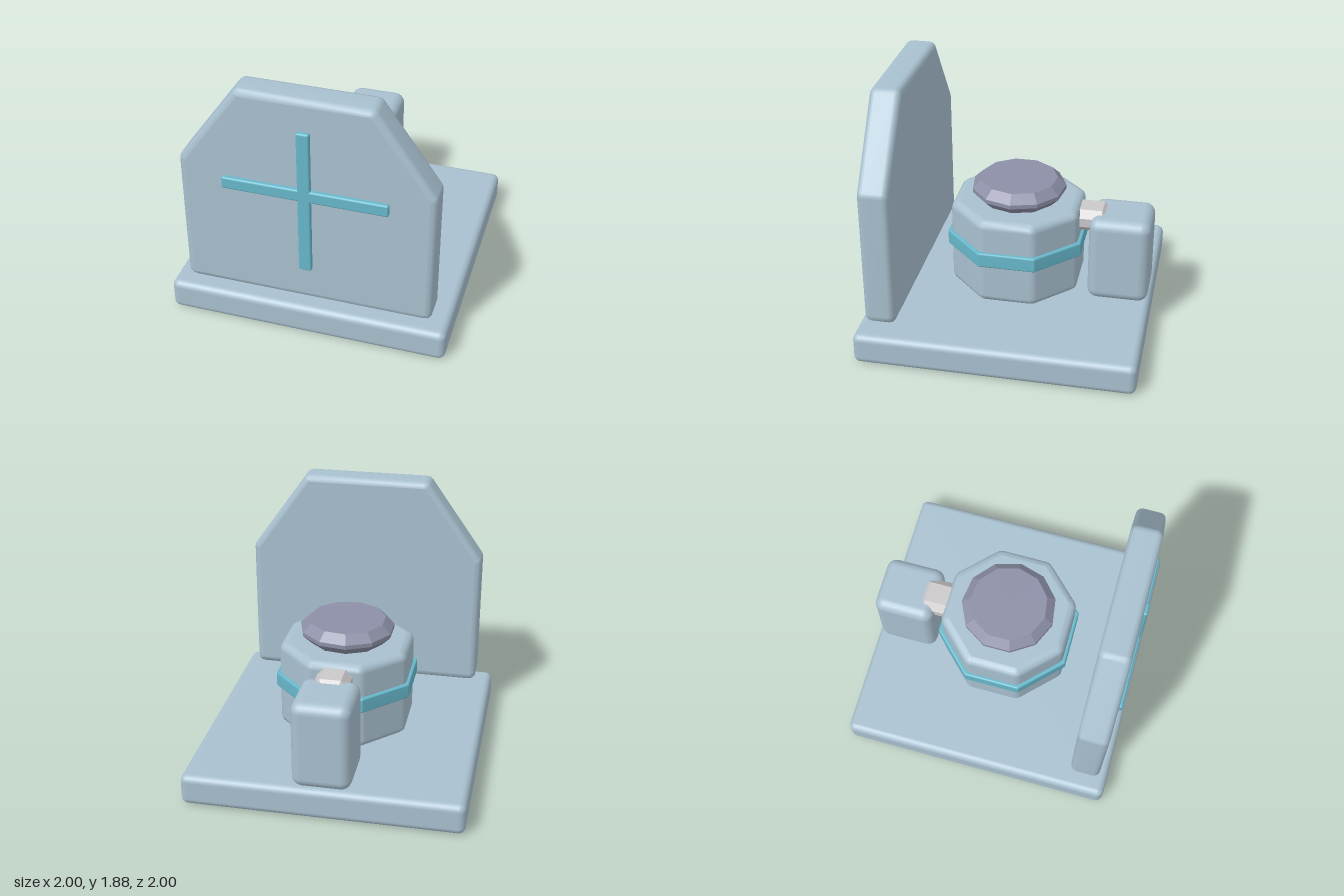
import * as THREE from 'three';
import { mergeVertices } from 'three/addons/utils/BufferGeometryUtils.js';
import { RoundedBoxGeometry } from 'three/addons/geometries/RoundedBoxGeometry.js';

const material = (name, color) => {
  const m = new THREE.MeshStandardMaterial({ color });
  m.name = name;
  return m;
};

// Closed outline with every corner softened by radius r
function softOutline(points, r) {
  const pts = points.map(([x, y]) => new THREE.Vector2(x, y));
  const shape = new THREE.Shape();
  pts.forEach((p, i) => {
    const toPrev = pts[(i + pts.length - 1) % pts.length].clone().sub(p).normalize();
    const toNext = pts[(i + 1) % pts.length].clone().sub(p).normalize();
    const turn = Math.PI - Math.acos(toPrev.dot(toNext));
    const trim = r * Math.tan(turn / 2);
    const a = p.clone().addScaledVector(toPrev, trim);
    const b = p.clone().addScaledVector(toNext, trim);
    if (i === 0) shape.moveTo(a.x, a.y);
    else shape.lineTo(a.x, a.y);
    shape.quadraticCurveTo(p.x, p.y, b.x, b.y);
  });
  shape.closePath();
  return shape;
}

// Prism from z = 0 to z = depth with rounded edges and area-weighted smooth normals
function softPrism(points, depth, bevel) {
  const geo = new THREE.ExtrudeGeometry(softOutline(points, bevel * 1.4), {
    depth: depth - 2 * bevel, curveSegments: 3, bevelEnabled: true,
    bevelSize: bevel, bevelThickness: bevel, bevelOffset: -bevel, bevelSegments: 3,
  });
  geo.translate(0, 0, bevel);
  geo.deleteAttribute('normal');
  geo.deleteAttribute('uv');
  const merged = mergeVertices(geo, 1e-4);
  merged.computeVertexNormals();
  return merged;
}

// Regular octagon with flat sides on the axes
function octagon(apothem) {
  const r = apothem / Math.cos(Math.PI / 8);
  return Array.from({ length: 8 }, (_, i) => {
    const a = (i + 0.5) * Math.PI / 4;
    return [r * Math.cos(a), r * Math.sin(a)];
  });
}

function faceted(geo) {
  const flat = geo.index ? geo.toNonIndexed() : geo;
  flat.computeVertexNormals();
  return flat;
}

export function createModel() {
  const model = new THREE.Group();
  model.name = 'shieldedMachine';
  const paleBlue = material('paleBlue', 0xa8c0cf);
  const teal = material('teal', 0x67b8cb);
  const slate = material('slate', 0x8c8fa6);
  const lightGrey = material('lightGrey', 0xcbc8ca);

  const add = (name, geo, mat, x = 0, y = 0, z = 0) => {
    const mesh = new THREE.Mesh(geo, mat);
    mesh.name = name;
    mesh.position.set(x, y, z);
    model.add(mesh);
    return mesh;
  };

  // Base slab
  add('base', new RoundedBoxGeometry(2, 0.23, 2, 3, 0.05), paleBlue, 0, 0.115, 0);

  // Front shield with sloping shoulders
  const outline = [[-0.885, 0.275], [0.885, 0.275], [0.885, 1.29],
    [0.465, 1.885], [-0.465, 1.885], [-0.885, 1.29]];
  add('shield', softPrism(outline, 0.22, 0.045), paleBlue, 0, 0, 0.715);

  // Raised cross bars on the shield
  add('verticalBar', new RoundedBoxGeometry(0.09, 1.11, 0.06, 2, 0.014), teal, 0, 1.1, 0.935);
  add('horizontalBar', new RoundedBoxGeometry(1.15, 0.09, 0.06, 2, 0.014), teal, 0, 1.165, 0.935);

  // Octagonal drum and the band around it
  add('drum', softPrism(octagon(0.463), 0.65, 0.055).rotateX(-Math.PI / 2), paleBlue, 0, 0.275, 0);
  add('drumBand', softPrism(octagon(0.488), 0.11, 0.012).rotateX(-Math.PI / 2), teal, 0, 0.58, 0);

  // Faceted cap
  const profile = [[0, 0.925], [0.277, 0.925], [0.342, 0.99], [0.342, 1.02], [0.28, 1.08], [0, 1.08]]
    .map(([x, y]) => new THREE.Vector2(x, y));
  add('cap', faceted(new THREE.LatheGeometry(profile, 11, Math.PI / 2)), slate);

  // Rear housing
  add('rearHousing', new RoundedBoxGeometry(0.42, 0.65, 0.445, 3, 0.075), paleBlue, 0, 0.55, -0.76);

  // Chamfered link between drum and housing
  const w = 0.125, h = 0.083, c = 0.05;
  const section = new THREE.Shape([[w, c - h], [w, h - c], [w - c, h], [c - w, h],
    [-w, h - c], [-w, c - h], [c - w, -h], [w - c, -h]].map(([x, y]) => new THREE.Vector2(x, y)));
  const link = new THREE.ExtrudeGeometry(section, {
    depth: 0.2, bevelEnabled: true, bevelSize: c, bevelThickness: c, bevelOffset: -c, bevelSegments: 1,
  });
  add('link', faceted(link), lightGrey, 0, 0.813, -0.62);

  return model;
}
